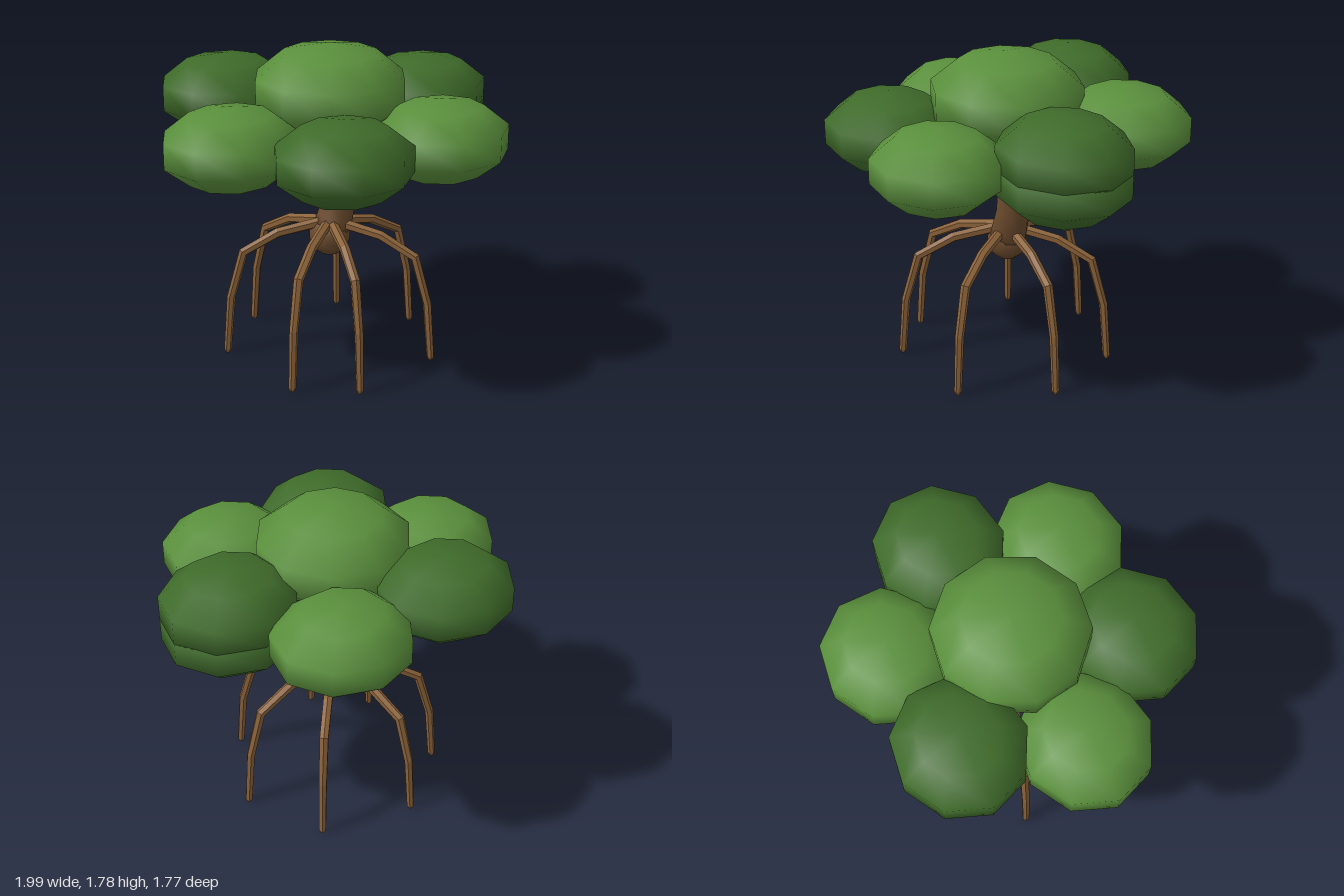
import * as THREE from 'three';

const mat = (name, color) => {
  const m = new THREE.MeshStandardMaterial({ color });
  m.name = name;
  return m;
};

// Tapered tube through [x, y, z, radius] stations, closed at both ends
function taperTube(stations, sides, faceted) {
  const pts = stations.map(s => new THREE.Vector3(s[0], s[1], s[2]));
  const pos = [], idx = [], last = pts.length - 1;
  pts.forEach((p, i) => {
    const t = pts[Math.min(i + 1, last)].clone().sub(p).normalize();
    if (i > 0) t.add(p.clone().sub(pts[i - 1]).normalize()).normalize();
    const n = new THREE.Vector3(0, 0, 1).cross(t).normalize();
    const b = t.clone().cross(n);
    for (let j = 0; j < sides; j++) {
      const a = (j / sides) * Math.PI * 2;
      const v = p.clone().addScaledVector(n, Math.cos(a) * stations[i][3])
        .addScaledVector(b, Math.sin(a) * stations[i][3]);
      pos.push(v.x, v.y, v.z);
    }
  });
  for (let i = 0; i < last; i++) for (let j = 0; j < sides; j++) {
    const k = (j + 1) % sides, a = i * sides, c = a + sides;
    idx.push(a + j, a + k, c + j, a + k, c + k, c + j);
  }
  for (let j = 1; j < sides - 1; j++) {
    const e = last * sides;
    idx.push(0, j + 1, j, e, e + j, e + j + 1);
  }
  let g = new THREE.BufferGeometry();
  g.setAttribute('position', new THREE.Float32BufferAttribute(pos, 3));
  g.setIndex(idx);
  if (faceted) g = g.toNonIndexed();
  g.computeVertexNormals();
  return g;
}

export function createModel() {
  const model = new THREE.Group();
  model.name = 'mangroveTree';
  const lightLeaf = mat('light leaf green', 0x5a8f3c);
  const darkLeaf = mat('dark leaf green', 0x3f6b2a);
  const bark = mat('trunk brown', 0x6b4a2d);
  const rootBark = mat('root brown', 0x8b6239);
  const podGold = mat('pod gold', 0xd4a017);

  const add = (name, geometry, material, x = 0, y = 0, z = 0) => {
    const m = new THREE.Mesh(geometry, material);
    m.name = name;
    m.position.set(x, y, z);
    model.add(m);
    return m;
  };

  // Trunk: a leaning tube rising from a rounded base
  add('trunk', taperTube([
    [0, 0.69, 0, 0.105], [0.035, 0.78, 0, 0.1], [0.068, 0.89, 0, 0.092],
    [0.06, 1.05, -0.01, 0.086], [0.05, 1.2, -0.018, 0.08], [0.04, 1.36, -0.02, 0.076],
  ], 10, false), bark);
  add('trunkBase', new THREE.SphereGeometry(0.115, 10, 7), bark, 0, 0.685, 0);

  // Stilt roots: [angle in degrees, reach of the foot]
  const roots = [[0, 0.582], [53.6, 0.59], [110.6, 0.598], [146, 0.59],
    [207.4, 0.586], [255, 0.58], [310, 0.58]];
  for (const [deg, reach] of roots) {
    const s = reach / 0.583;
    const g = taperTube([
      [0.02, 0.77, 0, 0.03], [0.29 * s, 0.713, 0, 0.028], [0.483 * s, 0.608, 0, 0.027],
      [0.557 * s, 0.34, 0, 0.024], [0.583 * s, 0.02, 0, 0.021], [0.584 * s, 0, 0, 0.012],
    ], 6, true);
    add('stiltRoot', g, rootBark, 0, 0, 0.003).rotation.y = -THREE.MathUtils.degToRad(deg);
  }

  // Crown: one large central clump
  const crown = new THREE.SphereGeometry(1, 10, 5);
  crown.rotateY(-Math.PI / 2);
  crown.scale(0.436, 0.26, 0.436);
  add('centreCanopy', crown, lightLeaf, 0, 1.52, 0.003);

  // Outer ring of clumps; the seventh overlaps the first
  const clump = new THREE.SphereGeometry(1, 9, 5);
  clump.rotateY(-Math.PI / 2);
  clump.scale(0.387, 0.22, 0.364);
  [1.28, 1.325, 1.325, 1.315, 1.44, 1.38, 1.41].forEach((y, i) => {
    const a = (i * Math.PI) / 3;
    add('outerCanopy', clump, i % 2 ? lightLeaf : darkLeaf,
      0.634 * Math.cos(a), y, 0.634 * Math.sin(a) + 0.004);
  });

  // Hanging seed pods
  const pod = new THREE.CylinderGeometry(0.013, 0.009, 0.25, 6);
  for (const [x, z] of [[0.24, 0.01], [-0.16, 0.2], [-0.1, -0.21]]) {
    add('seedPod', pod, podGold, x, 1.12, z);
  }
  return model;
}
